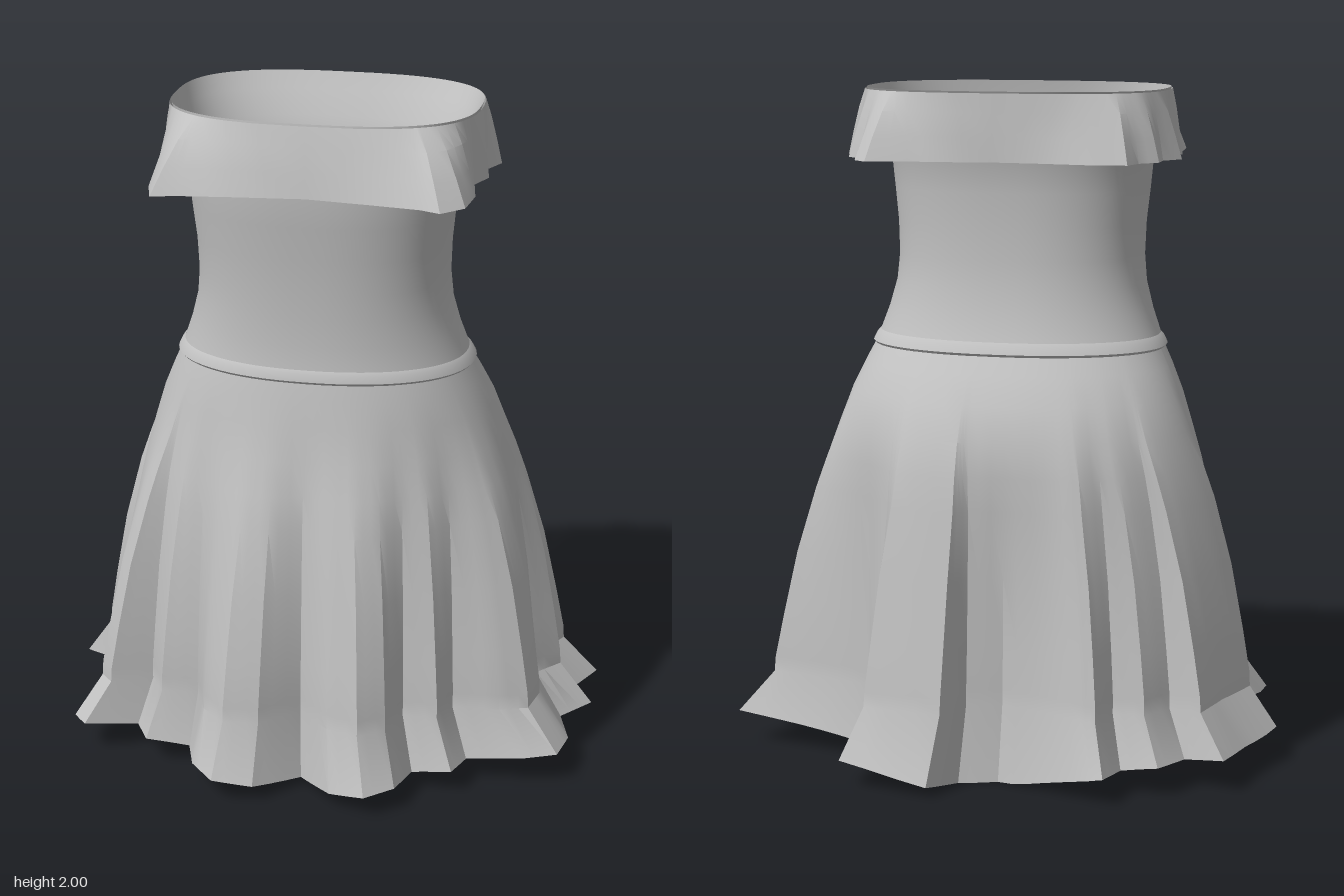
import * as THREE from 'three';
import { toCreasedNormals } from 'three/addons/utils/BufferGeometryUtils.js';

const fabric = new THREE.MeshStandardMaterial({ color: 0xc0c0c0, side: THREE.DoubleSide });
fabric.name = 'grey fabric';

const centreX = -.009; // the body sits slightly off the middle of the hem

// Cross-section [y, half width, front z, back z, squareness] -> point at angle t, scaled by k
function sectionPoint([y, rx, front, back, n = 2], t, k = 1) {
  const c = Math.cos(t), s = Math.sin(t);
  const x = Math.sign(c) * Math.abs(c) ** (2 / n);
  const z = Math.sign(s) * Math.abs(s) ** (2 / n);
  return new THREE.Vector3(centreX + rx * x * k, y, (front + back) / 2 + ((front - back) / 2) * z * k);
}

// Skin closed rings, listed from top to bottom
function loft(name, rings, crease) {
  const n = rings[0].length, index = [];
  for (let i = 0; i < rings.length - 1; i++) {
    for (let j = 0; j < n; j++) {
      const a = i * n + j, b = i * n + (j + 1) % n;
      index.push(a, b, a + n, b, b + n, a + n);
    }
  }
  const geometry = new THREE.BufferGeometry().setFromPoints(rings.flat());
  geometry.setIndex(index);
  const mesh = new THREE.Mesh(toCreasedNormals(geometry, crease), fabric);
  mesh.name = name;
  return mesh;
}

// Subdivide a closed [x, z] outline
function subdivide(outline, steps) {
  return outline.flatMap(([x, z], i) => {
    const [x2, z2] = outline[(i + 1) % outline.length];
    return Array.from({ length: steps }, (_, s) => [x + (x2 - x) * s / steps, z + (z2 - z) * s / steps]);
  });
}

const smoothRing = (section, count = 72) =>
  Array.from({ length: count }, (_, i) => sectionPoint(section, i / count * Math.PI * 2));

// Pleated hem of the skirt, from front centre round by the right side
const hemOutline = [
  [0, .47], [-.12, .60], [-.24, .62], [-.32, .53], [-.36, .41], [-.49, .43], [-.54, .34],
  [-.69, .41], [-.735, .36], [-.71, .14], [-.72, -.03], [-.82, -.07], [-.75, -.25], [-.71, -.42],
  [-.59, -.38], [-.53, -.49], [-.42, -.48], [-.39, -.60], [-.34, -.59], [-.20, -.51], [-.05, -.45],
  [.06, -.49], [.12, -.635], [.39, -.60], [.37, -.45], [.42, -.33], [.60, -.295], [.81, -.26],
  [.73, -.12], [.815, -.05], [.73, .04], [.77, .19], [.75, .31], [.65, .34], [.48, .34],
  [.45, .44], [.33, .43], [.30, .56], [.22, .63], [.11, .59],
];

// Lower edge of the neckline ruffle
const ruffleOutline = [
  [0, .38], [-.2, .40], [-.36, .42], [-.43, .44], [-.46, .34], [-.47, .22], [-.45, .16], [-.49, .08],
  [-.46, .01], [-.515, -.09], [-.47, -.15], [-.47, -.22], [-.42, -.27], [-.40, -.34], [-.28, -.35],
  [-.14, -.33], [0, -.32], [.14, -.34], [.24, -.34], [.36, -.37], [.40, -.33], [.41, -.26], [.45, -.22],
  [.44, -.15], [.485, -.10], [.45, -.02], [.47, .06], [.44, .14], [.46, .26], [.45, .38], [.39, .445],
  [.33, .42], [.18, .40],
];

function createSkirt() {
  const hemRx = .81, hemRz = .63;
  const pleats = subdivide(hemOutline, 3).map(([x, z]) => ({
    x, z, t: Math.atan2(z / hemRz, x / hemRx), k: Math.hypot(x / hemRx, z / hemRz),
  }));
  // Envelope sections, each with the strength of its pleats
  const levels = [
    [[1.235, .438, .322, -.268, 2.2], 0], [[1.18, .465, .335, -.31, 2.2], 0],
    [[1.10, .502, .352, -.37, 2.15], .03], [[1.0, .54, .378, -.42, 2.1], .12],
    [[.9, .578, .41, -.447, 2.05], .26], [[.8, .611, .44, -.464], .40], [[.6, .661, .487, -.495], .63],
    [[.4, .697, .525, -.526], .78], [[.27, .718, .548, -.549], .86], [[.225, .72, .552, -.555], .88],
  ];
  const rings = levels.map(([section, w]) =>
    pleats.map(p => sectionPoint(section, p.t, 1 + (p.k - 1) * w)));
  // Flared hem, dipping at the middle of the front and back and raised at the right side
  rings.push(pleats.map(p => {
    const dip = (p.z < 0 ? .075 : .045) * Math.exp(-((p.x / .33) ** 2));
    const lift = p.x < -.5 ? .055 * Math.exp(-(((p.z - .1) / .13) ** 2)) : 0;
    const y = .085 - dip + lift + .09 * (p.k - .9);
    return new THREE.Vector3(p.x, Math.max(0, y), p.z);
  }));
  return loft('skirt', rings, .45);
}

function createRuffle() {
  const rim = [1.995, .452, .335, -.31, 2.7];
  const edge = subdivide(ruffleOutline, 2);
  const ringAt = (w, y) => edge.map(([x, z]) => {
    const top = sectionPoint(rim, Math.atan2((z - .02) / .4, x / .48));
    return new THREE.Vector3(top.x + (x - top.x) * w, y, top.z + (z - top.z) * w);
  });
  return loft('necklineRuffle', [ringAt(0, 1.995), ringAt(.36, 1.94), ringAt(.7, 1.87), ringAt(1, 1.8)], .45);
}

export function createModel() {
  const dress = new THREE.Group();
  dress.name = 'dress';

  // Fitted bodice, open at the top
  const bodice = [
    [2.0, .448, .33, -.305, 2.7], [1.95, .432, .337, -.28, 2.6], [1.88, .41, .343, -.24, 2.5],
    [1.8, .392, .344, -.212, 2.5], [1.7, .383, .334, -.203, 2.45], [1.6, .373, .322, -.202, 2.4],
    [1.5, .37, .315, -.204, 2.35], [1.42, .378, .312, -.213, 2.3], [1.34, .4, .312, -.23, 2.25],
    [1.28, .422, .316, -.25, 2.2], [1.235, .438, .322, -.268, 2.2],
  ];
  dress.add(loft('bodice', bodice.map(s => smoothRing(s)), 1.2));

  // Narrow raised band at the waist
  const band = [
    [1.27, .426, .318, -.255, 2.2], [1.26, .436, .325, -.265, 2.2],
    [1.238, .447, .33, -.277, 2.2], [1.23, .44, .323, -.271, 2.2],
  ];
  dress.add(loft('waistband', band.map(s => smoothRing(s)), .6));

  dress.add(createSkirt(), createRuffle());
  return dress;
}
